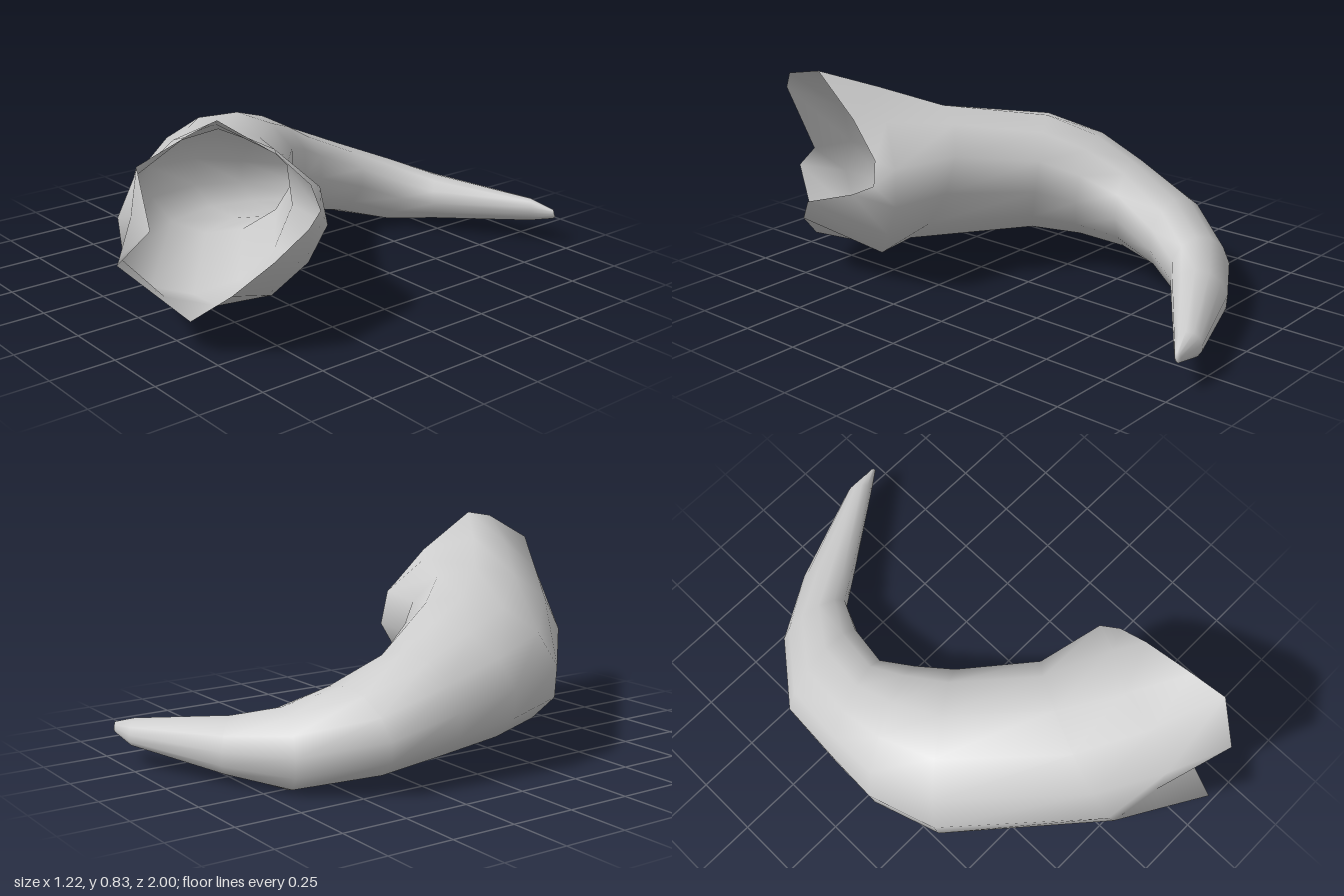
import * as THREE from 'three';

const SIDES = 12;
const SKEW = 0.1; // tops lean to the inside of the curve, bottoms to the outside

// Cross-sections from tip to body:
// outer x, outer z, inner x, inner z, bottom y, top y, backward tilt of the top
const SECTIONS = [
  [0.42, -1.0, 0.435, -0.985, 0.11, 0.15, 0],
  [0.29, -1.0, 0.36, -0.93, 0.08, 0.18, 0],
  [-0.12, -0.84, 0.03, -0.695, 0.03, 0.235, 0],
  [-0.37, -0.69, -0.09, -0.61, 0.0, 0.285, 0],
  [-0.57, -0.43, -0.16, -0.46, 0.05, 0.36, 0.03],
  [-0.595, -0.15, -0.2, -0.27, 0.085, 0.46, 0.03],
  [-0.61, 0.08, -0.13, -0.13, 0.105, 0.545, 0.05],
  [-0.53, 0.35, -0.04, 0.0, 0.115, 0.61, 0.05],
  [-0.05, 0.79, 0.23, 0.22, 0.1, 0.66, 0.14],
];

// Flare behind the mouth, with a groove along the outer side
const FLARE = [
  [0.24, 0.75, 0.56], [0.22, 0.72, 0.72], [0.17, 0.6, 0.85], [0.14, 0.45, 0.85],
  [0.13, 0.31, 0.895], [0.2, 0.15, 0.76], [0.27, 0.095, 0.59], [0.38, 0.13, 0.43],
  [0.45, 0.25, 0.32], [0.47, 0.38, 0.25], [0.45, 0.52, 0.27], [0.36, 0.66, 0.4],
];

// Uneven rim of the mouth: top, outer side, bottom, inner side
const RIM = [
  [0.435, 0.83, 0.69], [0.46, 0.805, 0.83], [0.37, 0.71, 0.96], [0.31, 0.455, 0.88],
  [0.29, 0.355, 1.0], [0.4, 0.135, 0.79], [0.53, 0.25, 0.71], [0.607, 0.365, 0.59],
  [0.55, 0.42, 0.4], [0.515, 0.46, 0.32], [0.485, 0.55, 0.34], [0.465, 0.68, 0.47],
];

// Skewed elliptical ring starting at the top and running over the outer side
function ring([ox, oz, ix, iz, y0, y1, tilt]) {
  const dx = ox - ix, dz = oz - iz;
  return Array.from({ length: SIDES }, (_, j) => {
    const a = (j / SIDES) * Math.PI * 2;
    const s = Math.sin(a) / 2 - SKEW * Math.cos(a);
    const t = tilt * Math.cos(a);
    return [
      (ox + ix) / 2 + dx * s - dz * t,
      (y0 + y1) / 2 + ((y1 - y0) / 2) * Math.cos(a),
      (oz + iz) / 2 + dz * s + dx * t,
    ];
  });
}

// Skin joining all rings, closed at the tip and open at the mouth
function loft(rings, tip) {
  const index = [];
  for (let i = 0; i < rings.length - 1; i++) {
    for (let j = 0; j < SIDES; j++) {
      const k = (j + 1) % SIDES;
      const a = i * SIDES + j, b = i * SIDES + k;
      index.push(a, b, a + SIDES, b, b + SIDES, a + SIDES);
    }
  }
  const tipIndex = rings.length * SIDES;
  for (let j = 0; j < SIDES; j++) index.push(tipIndex, (j + 1) % SIDES, j);

  const geometry = new THREE.BufferGeometry();
  const points = [...rings.flat(), tip].flat();
  geometry.setAttribute('position', new THREE.Float32BufferAttribute(points, 3));
  geometry.setIndex(index);
  geometry.computeVertexNormals();
  return geometry;
}

export function createModel() {
  const group = new THREE.Group();
  group.name = 'curvedHorn';
  const material = new THREE.MeshStandardMaterial({ color: 0xcccccc, side: THREE.DoubleSide });

  // Hollow horn shell
  const rings = [...SECTIONS.map(ring), FLARE, RIM];
  const shell = new THREE.Mesh(loft(rings, [0.437, 0.12, -0.995]), material);
  shell.name = 'hornShell';
  group.add(shell);
  return group;
}
